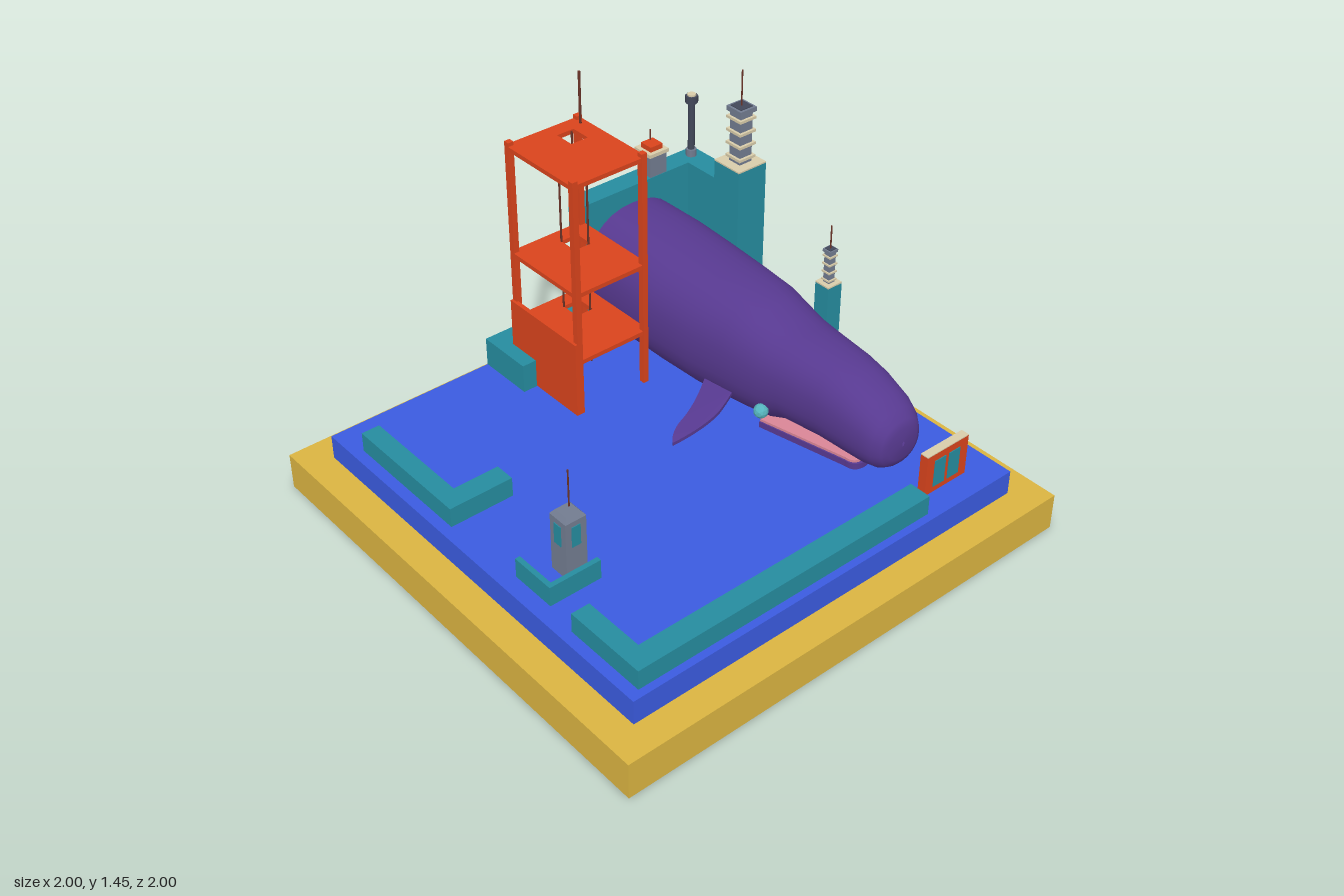
import * as THREE from 'three';

const mat = (color, extra = {}) => new THREE.MeshStandardMaterial({ color, ...extra });
const M = {
  yellow: mat(0xdab441), blue: mat(0x3b5bdf), teal: mat(0x268c9f), orange: mat(0xd9431c),
  cream: mat(0xd8ccaa), grey: mat(0x727c90), dark: mat(0x42485a), brown: mat(0x6b3327),
  purple: mat(0x573990, { side: THREE.DoubleSide }), pink: mat(0xd98596), eye: mat(0x55b4bd, { flatShading: true }),
};

export function createModel() {
  const root = new THREE.Group();

  const add = (name, geo, material, x = 0, y = 0, z = 0, parent = root) => {
    const m = new THREE.Mesh(geo, material);
    m.name = name;
    m.position.set(x, y, z);
    parent.add(m);
    return m;
  };
  // box given by its limits
  const box = (name, material, x0, x1, y0, y1, z0, z1, parent) =>
    add(name, new THREE.BoxGeometry(x1 - x0, y1 - y0, z1 - z0), material,
      (x0 + x1) / 2, (y0 + y1) / 2, (z0 + z1) / 2, parent);
  const rod = (name, material, r, x, y0, y1, z, parent) =>
    add(name, new THREE.CylinderGeometry(r, r, y1 - y0, 8), material, x, (y0 + y1) / 2, z, parent);
  const group = (name) => {
    const g = new THREE.Group();
    g.name = name;
    root.add(g);
    return g;
  };
  // flat plan outline (x, z) with thickness below y = 0
  const slab = (shape, depth) =>
    new THREE.ExtrudeGeometry(shape, { depth, bevelEnabled: false, curveSegments: 10 }).rotateX(Math.PI / 2);

  // plinth and water
  box('plinth', M.yellow, -1, 1, 0, 0.15, -1, 1);
  box('water', M.blue, -0.88, 0.88, 0.15, 0.25, -0.88, 0.88);

  // walls: x0, x1, top, z0, z1
  const walls = group('walls');
  [
    [-0.88, -0.79, 0.84, -0.88, -0.25], [-0.79, -0.59, 0.84, -0.88, -0.78],
    [-0.88, -0.79, 0.37, -0.25, 0.17], [-0.79, -0.64, 0.37, 0.11, 0.17],
    [-0.73, -0.255, 0.33, 0.76, 0.835], [-0.255, -0.17, 0.33, 0.57, 0.835],
    [0.51, 0.76, 0.33, 0.76, 0.835], [0.76, 0.85, 0.33, -0.48, 0.835],
    [0.18, 0.35, 0.33, 0.795, 0.815], [0.35, 0.37, 0.33, 0.6, 0.815],
  ].forEach(([x0, x1, top, z0, z1]) => box('wall', M.teal, x0, x1, 0.25, top, z0, z1, walls));

  // teal towers topped by ringed masts
  const mastTower = (name, x, z, half, top, mastTop, rodTop) => {
    const g = group(name);
    box('towerBody', M.teal, x - half, x + half, 0.25, top, z - half, z + half, g);
    box('towerCap', M.cream, x - half, x + half, top, top + 0.006, z - half, z + half, g);
    const w = half * 0.43, h = mastTop - top;
    box('mast', M.grey, x - w, x + w, top, mastTop, z - w, z + w, g);
    for (let i = 0; i < 4; i++) {
      const y = top + h * (0.1 + i * 0.23), r = w * 1.35;
      box('mastRing', M.cream, x - r, x + r, y, y + h * 0.045, z - r, z + r, g);
    }
    const t = w * 1.35;
    box('mastHead', M.grey, x - t, x + t, mastTop - h * 0.08, mastTop, z - t, z + t, g);
    box('mastLid', M.dark, x - w, x + w, mastTop, mastTop + 0.003, z - w, z + w, g);
    rod('antenna', M.brown, 0.003, x, mastTop, rodTop, z, g);
  };
  mastTower('largeTower', -0.52, -0.81, 0.07, 0.95, 1.19, 1.34);
  mastTower('smallTower', -0.012, -0.808, 0.035, 0.65, 0.8, 0.9);

  // corner pole with lamp
  const pole = group('cornerPole');
  rod('poleFoot', M.grey, 0.022, -0.83, 0.84, 0.87, -0.83, pole);
  rod('pole', M.dark, 0.014, -0.83, 0.84, 1.08, -0.83, pole);
  rod('lamp', M.dark, 0.026, -0.83, 1.075, 1.105, -0.83, pole);
  rod('lampTop', M.cream, 0.018, -0.83, 1.1, 1.112, -0.83, pole);

  // hut on the wall
  const hut = group('wallHut');
  box('hutBody', M.grey, -0.872, -0.792, 0.84, 0.93, -0.668, -0.588, hut);
  box('hutCornice', M.cream, -0.88, -0.785, 0.93, 0.945, -0.675, -0.58, hut);
  box('hutRoof', M.orange, -0.862, -0.802, 0.945, 0.966, -0.658, -0.598, hut);
  rod('hutAntenna', M.brown, 0.003, -0.855, 0.94, 1.01, -0.64, hut);

  // open frame tower: posts, pierced floors, cables
  const frame = group('frameTower');
  for (const x of [-0.775, -0.402])
    for (const z of [-0.227, 0.085])
      box('post', M.orange, x - 0.012, x + 0.012, 0.25, 1.25, z - 0.012, z + 0.012, frame);
  const floor = new THREE.Shape().moveTo(-0.785, -0.24).lineTo(-0.392, -0.24)
    .lineTo(-0.392, 0.097).lineTo(-0.785, 0.097).closePath();
  floor.holes.push(new THREE.Path().moveTo(-0.72, -0.165).lineTo(-0.72, -0.09)
    .lineTo(-0.635, -0.09).lineTo(-0.635, -0.165).closePath());
  for (const y of [0.49, 0.785, 1.235]) add('floor', slab(floor, 0.018), M.orange, 0, y, 0, frame);
  box('frontPanel', M.orange, -0.787, -0.39, 0.25, 0.57, 0.09, 0.108, frame);
  for (const x of [-0.718, -0.637])
    for (const z of [-0.155, -0.09]) rod('cable', M.brown, 0.004, x, 0.25, 1.23, z, frame);
  rod('frameAntenna', M.brown, 0.005, -0.74, 1.23, 1.445, -0.213, frame);

  // sentry post
  const sentry = group('sentryPost');
  box('sentryBody', M.grey, 0.22, 0.304, 0.25, 0.488, 0.606, 0.694, sentry);
  const roof = new THREE.CylinderGeometry(0.042, 0.062, 0.018, 4, 1).rotateY(Math.PI / 4);
  add('sentryRoof', roof, mat(0x727c90, { flatShading: true }), 0.262, 0.497, 0.65, sentry);
  box('sentryFrontWindow', M.teal, 0.243, 0.28, 0.38, 0.465, 0.69, 0.697, sentry);
  box('sentrySideWindow', M.teal, 0.3, 0.307, 0.38, 0.465, 0.632, 0.669, sentry);
  rod('sentryAntenna', M.brown, 0.003, 0.25, 0.5, 0.66, 0.635, sentry);

  // gate
  const gate = group('gate');
  box('gateBody', M.orange, 0.742, 0.776, 0.25, 0.42, -0.75, -0.54, gate);
  box('gateLid', M.cream, 0.742, 0.776, 0.42, 0.424, -0.75, -0.54, gate);
  for (const z of [-0.607, -0.68])
    box('gateWindow', M.teal, 0.77, 0.779, 0.275, 0.39, z - 0.028, z + 0.028, gate);

  // whale body lofted along x from superelliptic sections: x, top, bottom, half width
  const whale = group('whale');
  const cz = -0.496, N = 32;
  const sections = [
    [-0.82, 0.767, 0.25, 0.236], [-0.6, 0.764, 0.25, 0.244], [-0.4, 0.752, 0.25, 0.242],
    [-0.2, 0.744, 0.25, 0.23], [-0.04, 0.74, 0.26, 0.21], [0.05, 0.718, 0.268, 0.196],
    [0.14, 0.693, 0.285, 0.185], [0.22, 0.684, 0.32, 0.174], [0.4, 0.674, 0.335, 0.155],
    [0.5, 0.655, 0.335, 0.145], [0.6, 0.615, 0.337, 0.132], [0.65, 0.582, 0.345, 0.117],
    [0.68, 0.552, 0.365, 0.095], [0.692, 0.525, 0.395, 0.07], [0.695, 0.47, 0.45, 0.005],
  ];
  const pos = [], idx = [];
  sections.forEach(([x, top, bottom, hw], i) => {
    const p = 2 / 2.3, mid = (top + bottom) / 2, h = (top - bottom) / 2;
    for (let j = 0; j < N; j++) {
      const a = (j / N) * Math.PI * 2, s = Math.sin(a), c = Math.cos(a);
      pos.push(x, mid + h * Math.sign(c) * Math.abs(c) ** p, cz + hw * Math.sign(s) * Math.abs(s) ** p);
      if (i < sections.length - 1) {
        const A = i * N + j, C = i * N + (j + 1) % N;
        idx.push(A, C, A + N, A + N, C, C + N);
      }
    }
  });
  const body = new THREE.BufferGeometry();
  body.setAttribute('position', new THREE.Float32BufferAttribute(pos, 3));
  body.setIndex(idx);
  body.computeVertexNormals();
  add('whaleBody', body, M.purple, 0, 0, 0, whale);

  // lower jaw, tongue and palate
  const tongueShape = (x0, x1, w0, w1) => new THREE.Shape().moveTo(x0, -w0).lineTo(x1 - w1, -w1)
    .quadraticCurveTo(x1, -w1, x1, 0).quadraticCurveTo(x1, w1, x1 - w1, w1).lineTo(x0, w0).closePath();
  add('lowerJaw', slab(tongueShape(0.1, 0.52, 0.13, 0.05), 0.025), M.purple, 0, 0.275, cz, whale);
  add('tongue', slab(tongueShape(0.1, 0.51, 0.125, 0.045), 0.01), M.pink, 0, 0.285, cz, whale);
  add('palate', slab(tongueShape(0.22, 0.61, 0.08, 0.05), 0.012), M.pink, 0, 0.341, cz, whale);

  // eyes on both sides
  for (const s of [-1, 1])
    add('eye', new THREE.IcosahedronGeometry(0.029, 1), M.eye, 0.16, 0.385, cz + s * 0.181, whale);

  // swept flipper, drooping outwards
  const fin = new THREE.Shape().moveTo(-0.14, -0.31).quadraticCurveTo(-0.04, -0.17, -0.015, -0.08)
    .quadraticCurveTo(0.01, -0.01, 0.05, 0.013).quadraticCurveTo(0.065, -0.12, 0.045, -0.21)
    .quadraticCurveTo(0.025, -0.27, 0, -0.32).closePath();
  const finGeo = slab(fin, 0.014);
  const fp = finGeo.attributes.position;
  for (let i = 0; i < fp.count; i++) {
    const x = fp.getX(i), z = fp.getZ(i);
    fp.setY(i, fp.getY(i) + 0.38 - 0.12 * (z + 0.3) - 0.12 * Math.max(0, x));
  }
  finGeo.computeVertexNormals();
  add('flipper', finGeo, M.purple, 0, 0, 0, whale);

  return root;
}
